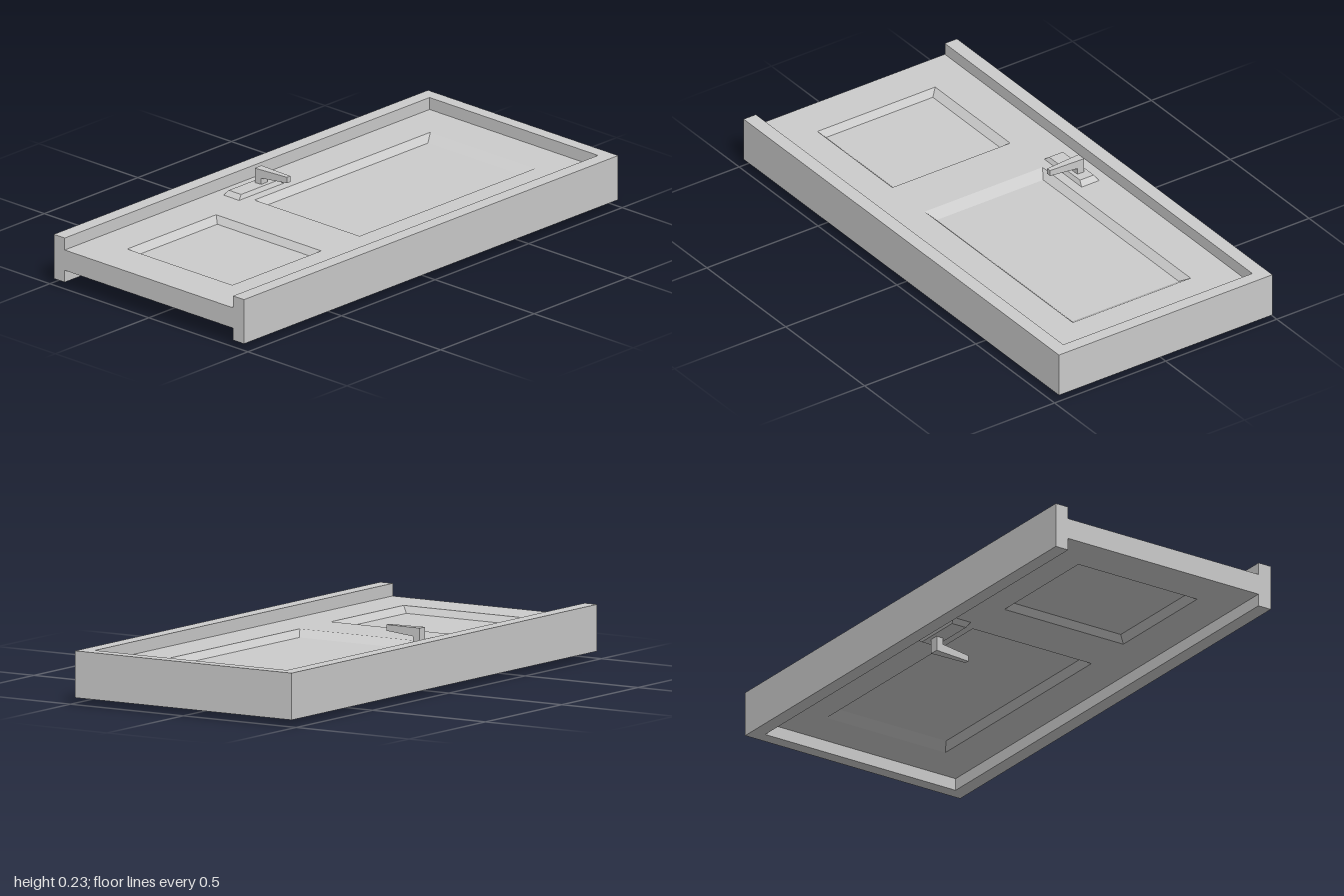
import * as THREE from 'three';

const MID = 0.113; // height of the door's middle plane
const SLAB = 0.04; // half thickness of the slab
const material = new THREE.MeshStandardMaterial({ color: 0xcccccc, flatShading: true });

// Rectangles are [x0, x1, z0, z1]; corners run counter-clockwise seen from above.
const corners = ([x0, x1, z0, z1], y) => [[x0, y, z1], [x1, y, z1], [x1, y, z0], [x0, y, z0]];

// Sloped ring from one rectangle to a smaller one, closed by a flat cap.
function bevelledRect(outer, y0, inner, y1) {
  const a = corners(outer, y0), b = corners(inner, y1), pos = [];
  const quad = (p, q, r, s) => pos.push(...p, ...q, ...r, ...p, ...r, ...s);
  for (let i = 0; i < 4; i++) {
    const j = (i + 1) % 4;
    quad(a[i], a[j], b[j], b[i]);
  }
  quad(...b);
  const geo = new THREE.BufferGeometry();
  geo.setAttribute('position', new THREE.Float32BufferAttribute(pos, 3));
  geo.computeVertexNormals();
  return geo;
}

// Copy reflected to the underside, with the winding put right.
function flipped(geo) {
  const src = (geo.index ? geo.toNonIndexed() : geo).getAttribute('position');
  const pos = [];
  for (let i = 0; i < src.count; i += 3)
    for (const k of [i, i + 2, i + 1]) pos.push(src.getX(k), -src.getY(k), src.getZ(k));
  const out = new THREE.BufferGeometry();
  out.setAttribute('position', new THREE.Float32BufferAttribute(pos, 3));
  out.computeVertexNormals();
  return out;
}

const points = (list) => list.map(([x, y]) => new THREE.Vector2(x, y));

export function createModel() {
  const door = new THREE.Group();
  door.name = 'door';
  const add = (name, geo) => {
    const mesh = new THREE.Mesh(geo, material);
    mesh.name = name;
    mesh.position.y = MID;
    door.add(mesh);
  };
  const addBothSides = (name, geo) => {
    add(name + 'Top', geo);
    add(name + 'Bottom', flipped(geo));
  };

  // Three-sided frame, open at the threshold
  const frame = new THREE.Shape(points([
    [-0.48, -1], [-0.425, -1], [-0.425, 0.95], [0.425, 0.95],
    [0.425, -1], [0.48, -1], [0.48, 1], [-0.48, 1],
  ]));
  const frameGeo = new THREE.ExtrudeGeometry(frame, { depth: 0.174, bevelEnabled: false });
  frameGeo.translate(0, 0, -0.087).rotateX(-Math.PI / 2);
  add('frame', frameGeo);

  // Slab face with two sunken panels, on both sides
  const panels = [
    { name: 'upperPanel', outer: [-0.265, 0.265, -0.785, 0.155], inner: [-0.24, 0.24, -0.745, 0.115] },
    { name: 'lowerPanel', outer: [-0.265, 0.265, 0.36, 0.835], inner: [-0.24, 0.24, 0.38, 0.815] },
  ];
  const face = new THREE.Shape(points([[-0.425, -1], [0.425, -1], [0.425, 0.95], [-0.425, 0.95]]));
  for (const { name, outer, inner } of panels) {
    face.holes.push(new THREE.Path(points(corners(outer, 0).map(([x, , z]) => [x, -z]))));
    addBothSides(name, bevelledRect(outer, SLAB, inner, SLAB - 0.025));
  }
  addBothSides('slabFace', new THREE.ShapeGeometry(face).rotateX(-Math.PI / 2).translate(0, SLAB, 0));
  add('slabBottomEdge', new THREE.PlaneGeometry(0.85, 2 * SLAB).translate(0, 0, 1));

  // Bevelled handle plate
  addBothSides('handlePlate',
    bevelledRect([-0.382, -0.303, -0.04, 0.197], SLAB, [-0.373, -0.311, -0.018, 0.178], 0.056));

  // L-shaped lever, narrowing toward its tip
  const lever = new THREE.Shape(points([
    [-0.357, 0.05], [-0.327, 0.05], [-0.327, 0.08], [-0.207, 0.09], [-0.207, 0.113], [-0.357, 0.113],
  ]));
  const leverGeo = new THREE.ExtrudeGeometry(lever, { depth: 1, bevelEnabled: false });
  const p = leverGeo.getAttribute('position');
  for (let i = 0; i < p.count; i++) {
    const t = (p.getX(i) + 0.357) / 0.15;
    const width = 0.036 - 0.018 * t;
    p.setZ(i, 0.038 - 0.004 * t + (p.getZ(i) - 0.5) * width);
  }
  leverGeo.computeVertexNormals();
  addBothSides('handleLever', leverGeo);

  return door;
}
